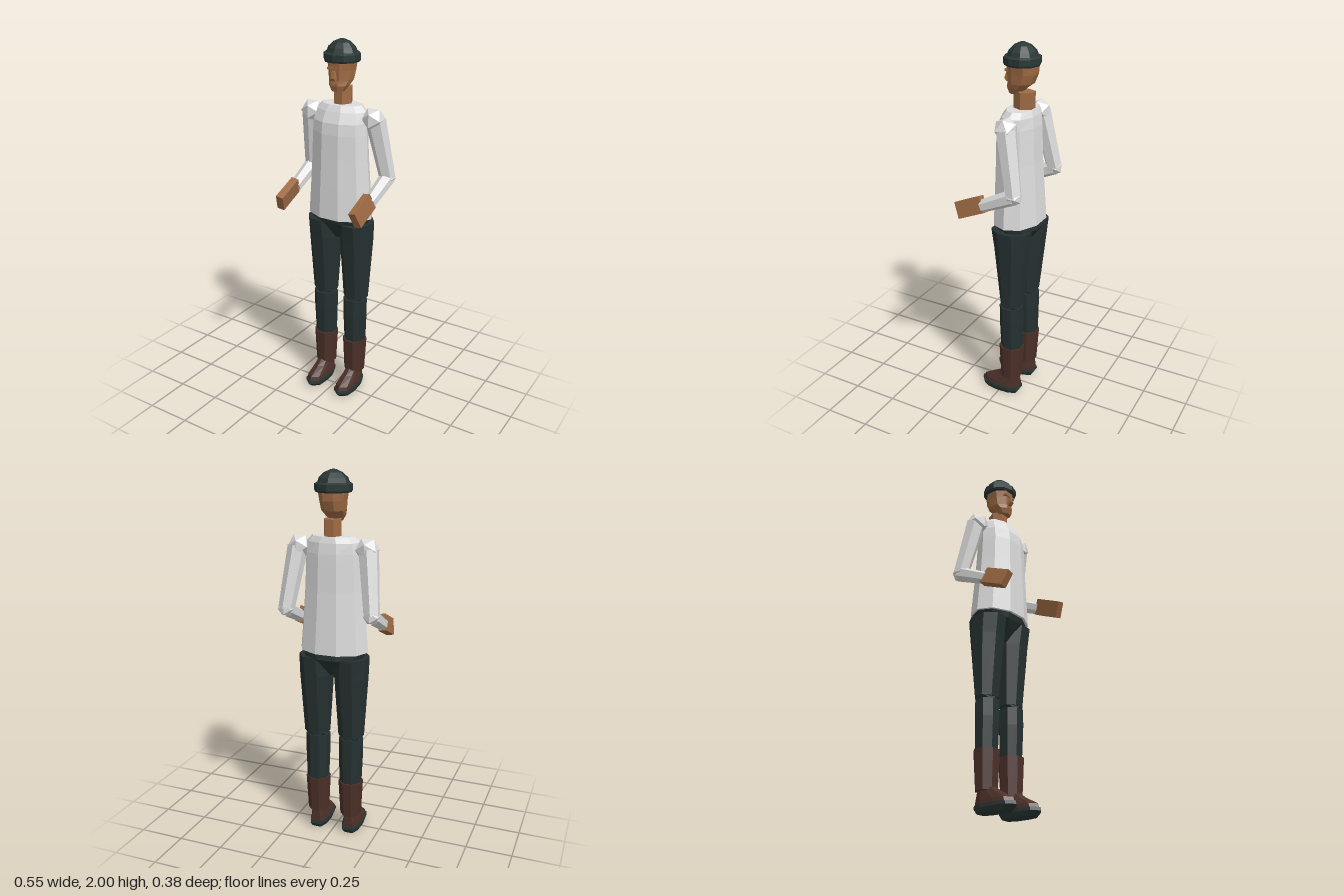
import * as THREE from 'three';

const material = (name, color) => Object.assign(new THREE.MeshStandardMaterial({ color }), { name });

// Give every face its own flat normal
function facet(geometry) {
  const g = geometry.index ? geometry.toNonIndexed() : geometry;
  g.computeVertexNormals();
  return g;
}

// Horizontal n-sided section spanning +-rx and zBack..zFront
function ring(y, rx, zFront, zBack, cx = 0, n = 8, turn = 0.5) {
  const angles = Array.from({ length: n }, (_, i) => ((i + turn) / n) * Math.PI * 2);
  const maxC = Math.max(...angles.map(Math.cos));
  const maxS = Math.max(...angles.map(Math.sin));
  const cz = (zFront + zBack) / 2, rz = (zFront - zBack) / 2;
  return angles.map(a => [cx + (rx * Math.cos(a)) / maxC, y, cz + (rz * Math.sin(a)) / maxS]);
}

// Pointed shoe outline
const SHOE = [[1, 0.58], [0.8, 0.86], [0, 1], [-0.8, 0.86], [-1, 0.58], [-0.95, 0.22], [-0.55, 0], [0.55, 0], [0.95, 0.22]];
const shoeRing = (y, w, zBack, zFront, cx) =>
  SHOE.map(([x, t]) => [cx + x * w, y, zBack + t * (zFront - zBack)]);

// Skin rings from bottom to top and close both ends
function loft(rings) {
  const n = rings[0].length, pos = [];
  const tri = (a, b, c) => pos.push(...a, ...b, ...c);
  const middle = r => [0, 1, 2].map(k => r.reduce((s, p) => s + p[k], 0) / n);
  const low = rings[0], high = rings[rings.length - 1];
  const lowMid = middle(low), highMid = middle(high);
  for (let i = 0; i < n; i++) {
    const j = (i + 1) % n;
    for (let k = 0; k < rings.length - 1; k++) {
      const A = rings[k], B = rings[k + 1];
      tri(A[i], B[i], A[j]);
      tri(A[j], B[i], B[j]);
    }
    tri(lowMid, low[i], low[j]);
    tri(highMid, high[j], high[i]);
  }
  const g = new THREE.BufferGeometry();
  g.setAttribute('position', new THREE.Float32BufferAttribute(pos, 3));
  return facet(g);
}

// Tapered limb between two points
function limb(from, to, r0, r1, sides = 6) {
  const a = new THREE.Vector3(...from), b = new THREE.Vector3(...to);
  const d = b.clone().sub(a);
  const g = new THREE.CylinderGeometry(r1, r0, d.length(), sides);
  g.applyQuaternion(new THREE.Quaternion().setFromUnitVectors(new THREE.Vector3(0, 1, 0), d.normalize()));
  g.translate(...a.add(b).multiplyScalar(0.5).toArray());
  return facet(g);
}

const ball = (r, x, y, z) => facet(new THREE.IcosahedronGeometry(r, 0).translate(x, y, z));

export function createModel() {
  const shirt = material('shirt white', 0xdcdcdc);
  const cloth = material('dark trousers', 0x263131);
  const wool = material('dark wool', 0x293735);
  const skin = material('skin', 0xa06c45);
  const leather = material('boot leather', 0x4c3029);

  const model = new THREE.Group();
  model.name = 'standingMan';
  const add = (parent, name, geometry, mat) => {
    const mesh = new THREE.Mesh(geometry, mat);
    mesh.name = name;
    parent.add(mesh);
    return mesh;
  };

  // Ten-sided shirt body with rounded shoulders
  add(model, 'shirtBody', loft([
    [1.07, 0.19, 0.063, -0.187], [1.25, 0.175, 0.058, -0.175], [1.4, 0.165, 0.053, -0.165],
    [1.53, 0.16, 0.05, -0.16], [1.59, 0.157, 0.043, -0.157], [1.645, 0.145, 0.018, -0.15],
    [1.675, 0.115, 0, -0.14],
  ].map(([y, rx, f, b]) => ring(y, rx, f, b, 0, 10, 0))), shirt);

  // Hips narrowing to the crotch
  add(model, 'hips', loft([
    [0.94, 0.03, -0.02, -0.11], [1.0, 0.085, 0.02, -0.155],
    [1.04, 0.165, 0.042, -0.183], [1.075, 0.18, 0.05, -0.178],
  ].map(([y, rx, f, b]) => ring(y, rx, f, b, 0, 10, 0))), cloth);

  // Neck and head
  add(model, 'neck', loft([1.65, 1.76].map(y => ring(y, 0.048, -0.03, -0.13, 0, 6, 0))), skin);
  add(model, 'head', loft([
    [1.745, 0.032, 0, -0.06], [1.775, 0.05, 0.008, -0.09], [1.8, 0.059, 0.002, -0.125],
    [1.85, 0.064, 0.005, -0.145], [1.9, 0.072, 0.008, -0.148],
  ].map(([y, rx, f, b]) => ring(y, rx, f, b))), skin);
  add(model, 'nose', loft([
    ring(1.8, 0.012, 0.016, -0.01, 0, 4), ring(1.815, 0.012, 0.028, -0.01, 0, 4),
    ring(1.85, 0.007, 0.018, -0.01, 0, 4),
  ]), skin);
  add(model, 'brow', facet(new THREE.BoxGeometry(0.076, 0.012, 0.02).translate(0, 1.862, 0.002)), skin);
  add(model, 'lips', facet(new THREE.BoxGeometry(0.036, 0.012, 0.012).translate(0, 1.783, 0.004)), skin);

  // Knitted cap with folded cuff
  add(model, 'capCuff', loft([
    [1.89, 0.087], [1.9, 0.092], [1.93, 0.092], [1.938, 0.08],
  ].map(([y, r]) => ring(y, r, -0.068 + r * 1.04, -0.068 - r * 1.04, 0, 10))), wool);
  add(model, 'capCrown', loft([
    [1.93, 0.081], [1.96, 0.07], [1.985, 0.045], [2.0, 0.012],
  ].map(([y, r]) => ring(y, r, -0.068 + r, -0.068 - r, 0, 10))), wool);

  for (const s of [1, -1]) {
    const side = s > 0 ? 'left' : 'right';

    // Bent arm
    const arm = new THREE.Group();
    arm.name = side + 'Arm';
    model.add(arm);
    const elbow = [s * 0.236, 1.29, -0.145];
    add(arm, 'shoulder', ball(0.064, s * 0.185, 1.612, -0.075), shirt);
    add(arm, 'upperArm', limb([s * 0.193, 1.61, -0.08], elbow, 0.054, 0.043), shirt);
    add(arm, 'elbow', ball(0.046, ...elbow), shirt);
    add(arm, 'forearm', limb(elbow, [s * 0.233, 1.205, 0.035], 0.042, 0.034), shirt);
    const hand = add(arm, 'hand', facet(new THREE.BoxGeometry(0.042, 0.09, 0.16)), skin);
    hand.position.set(s * 0.232, 1.184, 0.105);
    hand.rotation.set(0.41, 0, s * 0.2);

    // Leg
    const leg = new THREE.Group();
    leg.name = side + 'Leg';
    model.add(leg);
    const x = s * 0.097;
    add(leg, 'thigh', loft([
      ring(0.59, 0.066, -0.008, -0.12, s * 0.099), ring(0.93, 0.084, 0.025, -0.155, s * 0.099),
      ring(1.04, 0.082, 0.04, -0.165, s * 0.103),
    ]), cloth);
    add(leg, 'knee', ball(0.064, x, 0.59, -0.064), cloth);
    add(leg, 'shin', loft([
      ring(0.3, 0.056, -0.008, -0.12, x), ring(0.48, 0.062, 0, -0.122, x), ring(0.575, 0.062, 0, -0.122, x),
    ]), cloth);

    // Tall boot with a pointed shoe and dark sole
    add(leg, 'bootShaft', loft([
      ring(0.11, 0.054, -0.006, -0.114, x), ring(0.315, 0.063, 0.003, -0.127, x),
    ]), leather);
    add(leg, 'bootFoot', loft([
      shoeRing(0.035, 0.05, -0.11, 0.118, x), shoeRing(0.062, 0.047, -0.108, 0.108, x),
      shoeRing(0.1, 0.038, -0.104, 0.035, x), shoeRing(0.13, 0.034, -0.1, -0.008, x),
    ]), leather);
    add(leg, 'bootSole', loft([
      shoeRing(0, 0.045, -0.1, 0.1, x), shoeRing(0.025, 0.054, -0.116, 0.127, x),
      shoeRing(0.042, 0.053, -0.114, 0.124, x),
    ]), wool);
  }
  return model;
}
